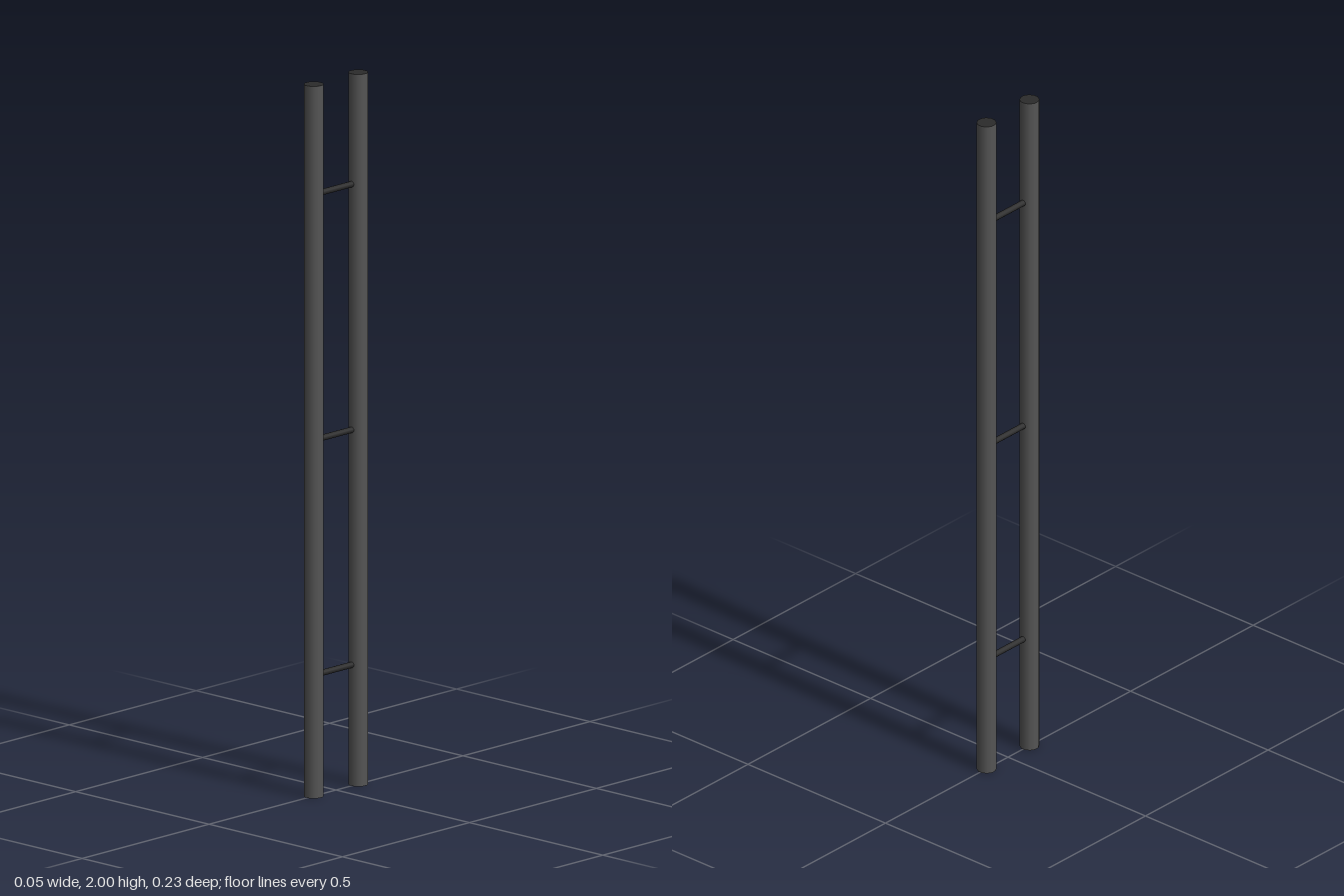
import * as THREE from 'three';

export function createModel() {
  const group = new THREE.Group();
  const paint = (name, color) => {
    const m = new THREE.MeshStandardMaterial({ color });
    m.name = name;
    return m;
  };
  const grey = paint('poleGrey', 0x555555);
  const dark = paint('darkGrey', 0x2b2b2b);

  // Two upright poles: grey sides and foot, dark top cap
  const poleGeo = new THREE.CylinderGeometry(0.027, 0.027, 2, 12);
  poleGeo.rotateY(Math.PI / 12);
  for (const [name, z] of [['frontPole', 0.0875], ['backPole', -0.0875]]) {
    const pole = new THREE.Mesh(poleGeo, [grey, dark, grey]);
    pole.name = name;
    pole.position.set(0, 1, z);
    group.add(pole);
  }

  // Thin rungs joining the poles, ends buried in them
  const rungGeo = new THREE.CylinderGeometry(0.0085, 0.0085, 0.15, 12);
  rungGeo.rotateX(Math.PI / 2);
  [['lowerRung', 0.34], ['middleRung', 1.0], ['upperRung', 1.69]].forEach(([name, y]) => {
    const rung = new THREE.Mesh(rungGeo, dark);
    rung.name = name;
    rung.position.y = y;
    group.add(rung);
  });

  return group;
}
